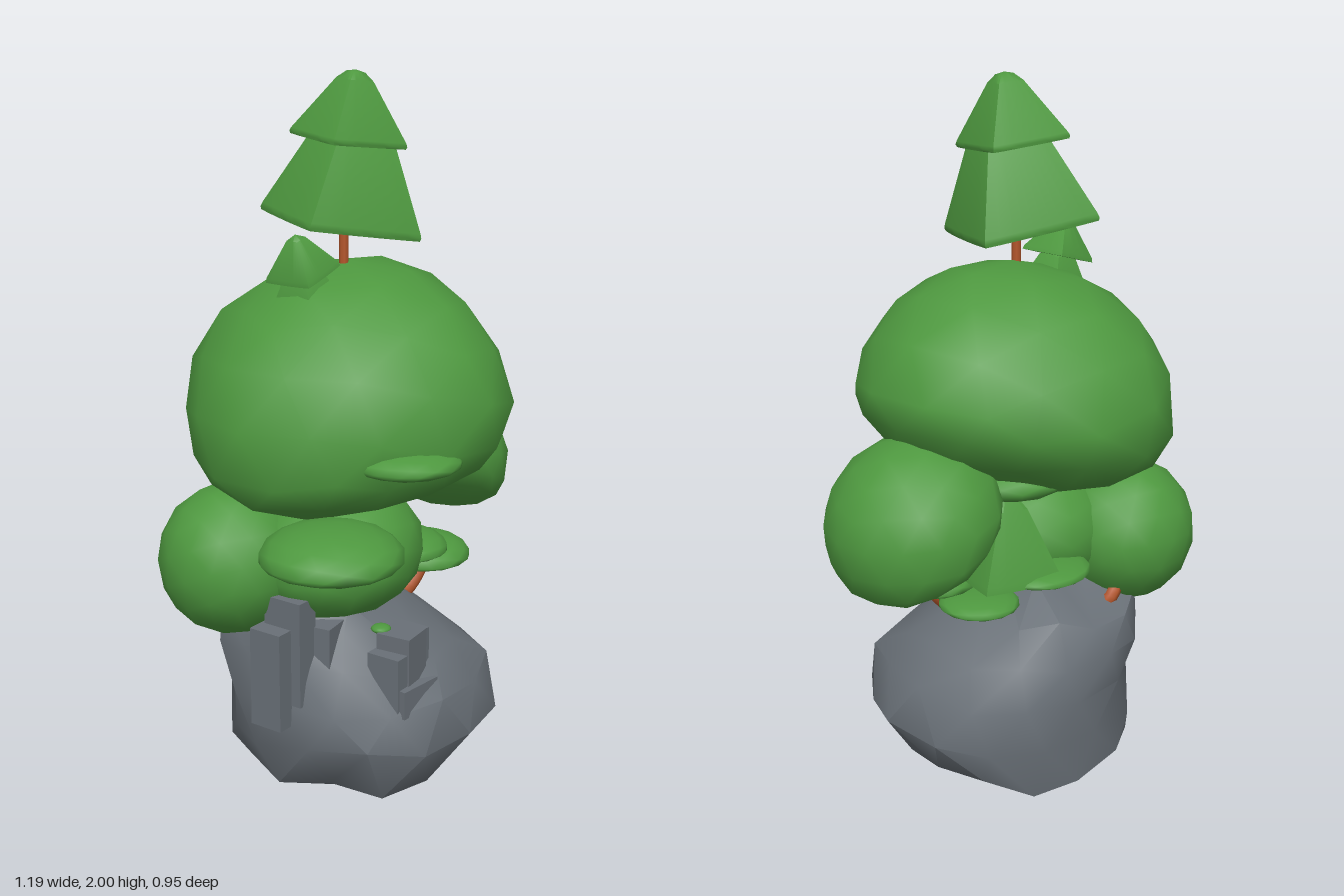
import * as THREE from 'three';
import { mergeVertices, toCreasedNormals } from 'three/addons/utils/BufferGeometryUtils.js';

const mat = (name, color) => {
  const m = new THREE.MeshStandardMaterial({ color });
  m.name = name;
  return m;
};

export function createModel() {
  const leaf = mat('leaf green', 0x4e983f);
  const bark = mat('bark orange', 0xb5562b);
  const stone = mat('stone grey', 0x697077);
  const model = new THREE.Group();

  const add = (name, geometry, material, pos = [0, 0, 0], rot = [0, 0, 0], parent = model) => {
    const mesh = new THREE.Mesh(geometry, material);
    mesh.name = name;
    mesh.position.set(...pos);
    mesh.rotation.set(...rot);
    parent.add(mesh);
  };

  // Foliage dome: a soft low-poly ball with its own height above and below the rim;
  // pinch draws the diagonals in, giving a slightly diamond plan
  const dome = (name, pos, radius, up, down, rot, pinch = 0) => {
    let g = new THREE.IcosahedronGeometry(1, 2);
    g.deleteAttribute('uv');
    g.deleteAttribute('normal');
    g = mergeVertices(g, 1e-4);
    const p = g.attributes.position;
    for (let i = 0; i < p.count; i++) {
      const x = p.getX(i), y = p.getY(i), z = p.getZ(i);
      const r = radius * (1 - pinch * Math.sin(2 * Math.atan2(z, x)) ** 2);
      p.setXYZ(i, x * r, y * (y > 0 ? up : down), z * r);
    }
    g.computeVertexNormals();
    add(name, g, leaf, pos, rot);
  };

  // Pine tier: a lathed profile squared off to four sides with softened corners
  const tier = (name, pos, profile, turn, rot, parent = model) => {
    const holder = new THREE.Group();
    holder.name = name + 'Tilt';
    holder.position.set(...pos);
    holder.rotation.set(...rot);
    parent.add(holder);
    const g = new THREE.LatheGeometry(profile.map(([r, y]) => new THREE.Vector2(r, y)), 40);
    const p = g.attributes.position;
    const e = 1.06;
    for (let i = 0; i < p.count; i++) {
      const a = Math.atan2(p.getX(i), p.getZ(i));
      const s = 1 / (Math.abs(Math.cos(a)) ** e + Math.abs(Math.sin(a)) ** e) ** (1 / e);
      p.setX(i, p.getX(i) * s);
      p.setZ(i, p.getZ(i) * s);
    }
    add(name, toCreasedNormals(g, 1.1), leaf, [0, 0, 0], [0, turn, 0], holder);
  };

  const branch = (name, points, r) => {
    const curve = new THREE.CatmullRomCurve3(points.map((p) => new THREE.Vector3(...p)));
    add(name, new THREE.TubeGeometry(curve, 10, r, 7), bark);
  };

  // Boulder: rings of [y, left, right, back, front] with seeded bumps
  let seed = 11;
  const rand = () => {
    seed = (seed * 16807) % 2147483647;
    return seed / 2147483647 - 0.5;
  };
  const rings = [
    [0.02, 0.0, 0.0, 0.08, 0.08],
    [0.025, -0.2, 0.16, -0.22, 0.23],
    [0.08, -0.33, 0.3, -0.345, 0.31],
    [0.2, -0.385, 0.385, -0.35, 0.39],
    [0.33, -0.38, 0.345, -0.345, 0.37],
    [0.43, -0.37, 0.27, -0.355, 0.295],
    [0.52, -0.345, 0.17, -0.33, 0.2],
    [0.59, -0.29, 0.06, -0.2, 0.13],
    [0.61, -0.08, -0.08, -0.06, -0.06],
  ];
  const n = 14, pos = [], idx = [];
  const square = (t) => Math.sign(t) * Math.abs(t) ** 0.93;
  rings.forEach(([y, x0, x1, z0, z1], k) => {
    const pole = k === 0 || k === rings.length - 1;
    for (let j = 0; j < n; j++) {
      const a = ((j + (k % 2) * 0.5) / n) * Math.PI * 2;
      const s = pole ? 0 : 1 + rand() * 0.08;
      pos.push(
        (x0 + x1) / 2 + ((x1 - x0) / 2) * square(Math.cos(a)) * s,
        Math.max(0, y + (pole ? 0 : rand() * 0.06)),
        (z0 + z1) / 2 + ((z1 - z0) / 2) * square(Math.sin(a)) * s
      );
    }
  });
  for (let k = 0; k < rings.length - 1; k++) {
    for (let j = 0; j < n; j++) {
      const a = k * n + j, b = k * n + ((j + 1) % n), c = a + n, d = b + n;
      // split each quad along the diagonal that follows the half-step stagger
      if (k % 2) {
        idx.push(a, d, b);
        if (k < rings.length - 2) idx.push(a, c, d);
      } else {
        if (k > 0) idx.push(a, c, b);
        idx.push(b, c, d);
      }
    }
  }
  const rock = new THREE.BufferGeometry();
  rock.setAttribute('position', new THREE.Float32BufferAttribute(pos, 3));
  rock.setIndex(idx.filter((_, i, all) => {
    // the top pole needs only one triangle per side
    const t = all.slice(i - (i % 3), i - (i % 3) + 3);
    return t.filter((v) => v >= (rings.length - 1) * n).length < 2;
  }));
  add('boulder', toCreasedNormals(rock, 0.7), stone);

  // Stone slabs and stacked blocks on the boulder: [centre, size, yaw]
  [
    [[-0.395, 0.42, 0.01], [0.07, 0.28, 0.1], 0],
    [[-0.345, 0.49, 0.03], [0.07, 0.3, 0.12], 0],
    [[-0.27, 0.44, 0.07], [0.1, 0.23, 0.12], 0.15],
    [[-0.14, 0.43, 0.255], [0.1, 0.19, 0.1], 0.1],
    [[-0.1, 0.46, 0.25], [0.07, 0.12, 0.09], 0],
    [[-0.2, 0.4, 0.255], [0.06, 0.16, 0.1], 0],
    [[-0.15, 0.35, 0.29], [0.14, 0.08, 0.08], -0.1],
  ].forEach(([c, s, yaw], i) =>
    add('stoneBlock' + (i + 1), new THREE.BoxGeometry(...s), stone, c, [0, yaw, 0]));

  // Large foliage masses
  dome('mainCanopy', [-0.04, 1.1, 0], 0.483, 0.4, 0.235, [0, 0, 0.25], 0.08);
  dome('sideCanopy', [0.355, 0.86, 0], 0.253, 0.23, 0.125, [0, 0, -0.68]);
  dome('backCanopy', [-0.305, 0.685, -0.192], 0.212, 0.22, 0.2, [-0.4, 0, 0.4]);
  dome('centreCanopy', [-0.12, 0.71, 0.01], 0.255, 0.2, 0.18, [0, 0, 0.15]);

  // Flat foliage pads: [centre, radius, height above, depth below]
  [
    [[-0.41, 0.815, 0.22], 0.19, 0.085, 0.045],
    [[-0.22, 1.04, 0.315], 0.15, 0.045, 0.035],
    [[0.195, 0.615, 0.1], 0.14, 0.065, 0.025],
    [[0.16, 0.57, -0.05], 0.115, 0.03, 0.02],
    [[0.06, 0.68, 0.12], 0.13, 0.055, 0.02],
    [[0.04, 0.67, -0.16], 0.15, 0.03, 0.02],
    [[0.1, 0.95, 0.12], 0.15, 0.06, 0.05],
    [[0.1, 0.95, -0.12], 0.15, 0.06, 0.05],
    [[-0.16, 0.525, 0.2], 0.028, 0.012, 0.012],
  ].forEach(([c, r, up, down], i) => dome('foliagePad' + (i + 1), c, r, up, down, [0, 0.3 * i, 0]));

  // Trunk and branches
  branch('trunk', [[-0.08, 0.5, 0], [-0.06, 0.7, 0], [-0.1, 0.93, 0]], 0.035);
  branch('sideBranch', [[-0.02, 0.82, 0], [0.07, 0.89, 0.01], [0.14, 0.94, 0.02]], 0.02);
  branch('padBranch', [[0.08, 0.5, 0.07], [0.14, 0.52, 0.08], [0.185, 0.565, 0.09], [0.2, 0.62, 0.1]], 0.026);
  branch('lowBranch', [[0.12, 0.51, 0.06], [0.16, 0.53, 0], [0.16, 0.57, -0.05]], 0.018);
  branch('shortBranch', [[0.14, 0.775, -0.08], [0.2, 0.773, -0.06], [0.255, 0.768, -0.05]], 0.017);
  branch('leftBranch', [[-0.17, 0.75, 0.14], [-0.3, 0.772, 0.2], [-0.38, 0.79, 0.22]], 0.02);
  branch('backBranch', [[-0.13, 0.5, -0.24], [-0.16, 0.55, -0.275], [-0.22, 0.61, -0.25]], 0.02);

  // Tall pine on the summit
  add('pineTrunk', new THREE.CylinderGeometry(0.013, 0.013, 0.25, 8), bark, [-0.055, 1.53, 0]);
  tier('pineLowerTier', [-0.055, 1.597, -0.015],
    [[0, 0], [0.227, 0], [0.23, 0.008], [0.226, 0.02], [0.117, 0.235], [0.03, 0.31], [0, 0.315]],
    0.29, [0.12, 0, -0.11]);
  tier('pineUpperTier', [-0.045, 1.818, 0.006],
    [[0, 0], [0.157, 0], [0.16, 0.007], [0.156, 0.016], [0.05, 0.16], [0.025, 0.18], [0, 0.185]],
    0.4, [0.1, 0, -0.07]);

  // Little leaning pine beside it
  const small = new THREE.Group();
  small.name = 'smallPine';
  small.position.set(-0.2, 1.42, -0.015);
  small.rotation.z = 0.2;
  model.add(small);
  tier('smallLowerTier', [0, 0, 0], [[0, 0], [0.085, 0.005], [0.05, 0.07], [0, 0.1]], 0.75, [0, 0, 0], small);
  tier('smallUpperTier', [0, 0.07, 0], [[0, 0], [0.1, 0], [0.096, 0.012], [0.025, 0.1], [0, 0.112]],
    0.78, [0, 0, 0.1], small);

  // Pine tier tucked under the canopy at the back
  tier('hiddenPine', [0.125, 0.665, -0.115],
    [[0, 0], [0.165, 0], [0.16, 0.018], [0.06, 0.2], [0, 0.26]], 0.42, [0, 0, 0.03]);

  return model;
}
